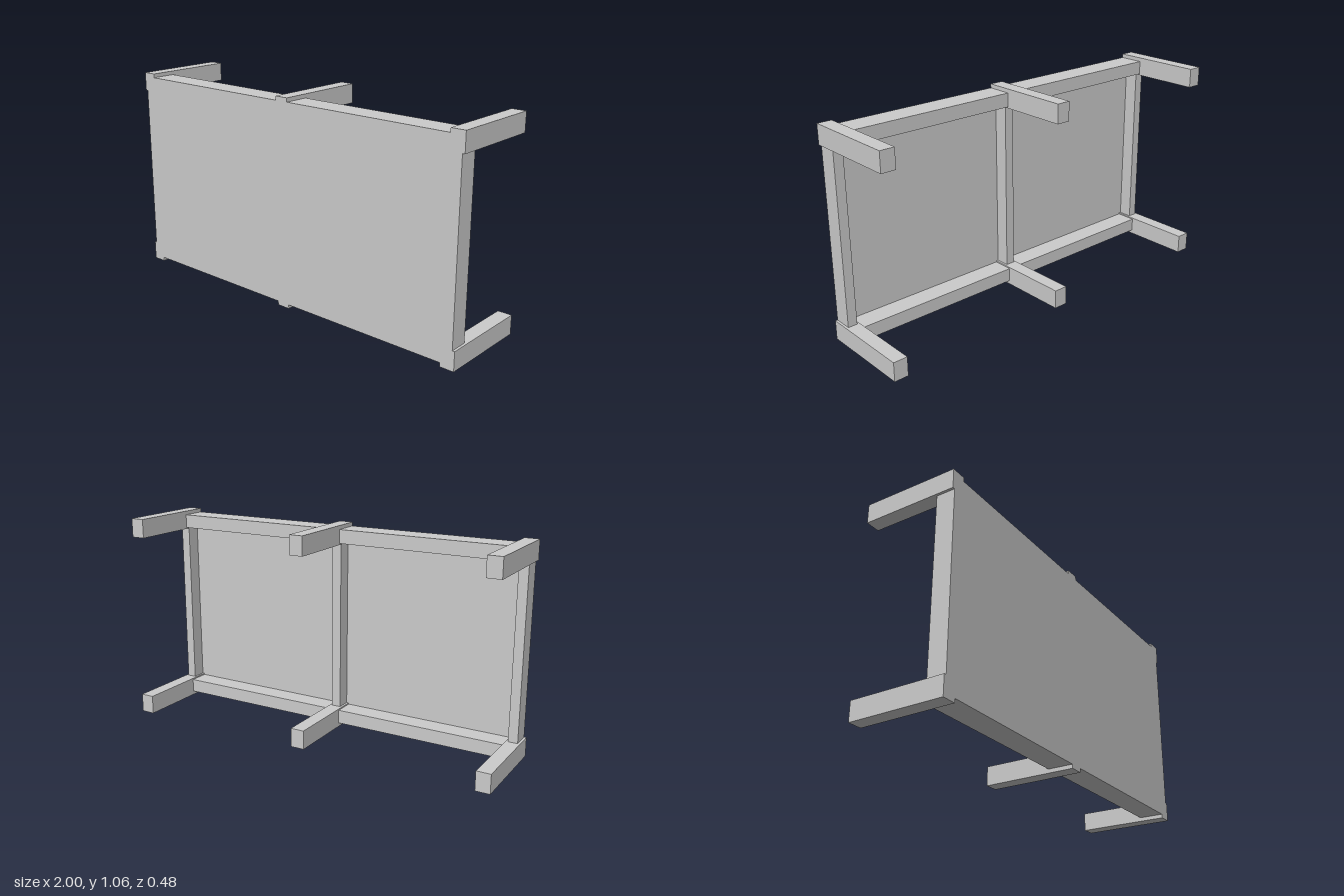
import * as THREE from 'three';

const material = new THREE.MeshStandardMaterial({ color: 0xcccccc, flatShading: true });

// Box given by its min and max on each axis
function addBox(group, name, [x0, x1], [y0, y1], [z0, z1]) {
  const mesh = new THREE.Mesh(new THREE.BoxGeometry(x1 - x0, y1 - y0, z1 - z0), material);
  mesh.name = name;
  mesh.position.set((x0 + x1) / 2, (y0 + y1) / 2, (z0 + z1) / 2);
  group.add(mesh);
}

// A long six-legged table lying on its side, its top facing +z
export function createModel() {
  const table = new THREE.Group();
  table.name = 'table';

  const height = 1.06, front = 0.24, panelBack = 0.217;
  const legHeight = 0.097, legHalf = 0.036;

  // Table top
  addBox(table, 'tableTop', [-0.988, 0.988], [0.02, height - 0.02], [panelBack, front]);

  // Legs, three along each long edge
  for (const x of [-1 + legHalf, 0, 1 - legHalf]) {
    const across = [x - legHalf, x + legHalf];
    addBox(table, 'lowerLeg', across, [0, legHeight], [-front, front]);
    addBox(table, 'upperLeg', across, [height - legHeight, height], [-front, front]);
  }

  // Long rails between the legs
  for (const side of [-1, 1]) {
    const span = side < 0 ? [-0.93, -legHalf] : [legHalf, 0.93];
    addBox(table, 'lowerLongRail', span, [0.02, 0.09], [0.11, panelBack]);
    addBox(table, 'upperLongRail', span, [height - 0.09, height - 0.02], [0.11, panelBack]);
  }

  // Cross rails joining each pair of legs
  for (const x of [-0.964, 0, 0.964]) {
    addBox(table, 'crossRail', [x - 0.024, x + 0.024],
      [legHeight, height - legHeight], [0.145, panelBack]);
  }

  return table;
}
